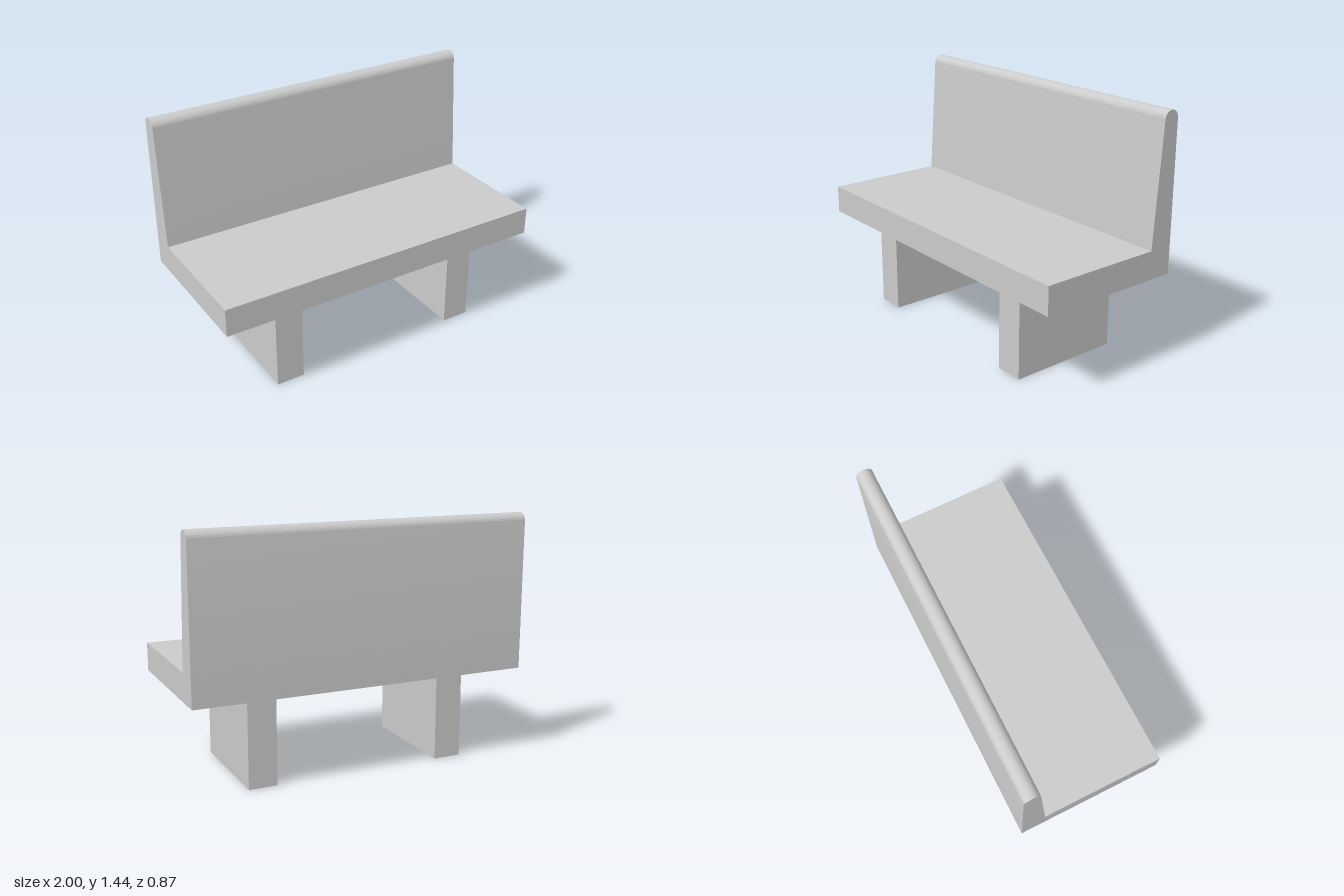
import * as THREE from 'three';
import { toCreasedNormals } from 'three/addons/utils/BufferGeometryUtils.js';

export function createModel() {
  const bench = new THREE.Group();
  bench.name = 'bench';
  const material = new THREE.MeshStandardMaterial({ color: 0xcccccc });

  // Seat and backrest: one side profile (shape x becomes z) swept across the width
  const legHeight = 0.525, seatTop = 0.69, halfDepth = 0.435;
  const tipRadius = 0.0475, tipY = 1.392;
  const profile = new THREE.Shape();
  profile.moveTo(-halfDepth, legHeight);
  profile.lineTo(halfDepth, legHeight);
  profile.lineTo(halfDepth, seatTop);
  profile.lineTo(-0.292, seatTop);
  profile.absarc(-halfDepth + tipRadius, tipY, tipRadius, 0, Math.PI, false); // rounded top edge
  profile.closePath();

  const seatGeometry = new THREE.ExtrudeGeometry(profile, { depth: 2, bevelEnabled: false, curveSegments: 32 });
  seatGeometry.translate(0, 0, -1).rotateY(-Math.PI / 2);
  const seat = new THREE.Mesh(toCreasedNormals(seatGeometry, 0.3), material);
  seat.name = 'seatAndBackrest';
  bench.add(seat);

  // Two slab legs
  const legGeometry = new THREE.BoxGeometry(0.167, legHeight, 0.667);
  for (const [name, side] of [['leftLeg', 1], ['rightLeg', -1]]) {
    const leg = new THREE.Mesh(legGeometry, material);
    leg.name = name;
    leg.position.set(side * 0.583, legHeight / 2, 0);
    bench.add(leg);
  }

  return bench;
}
